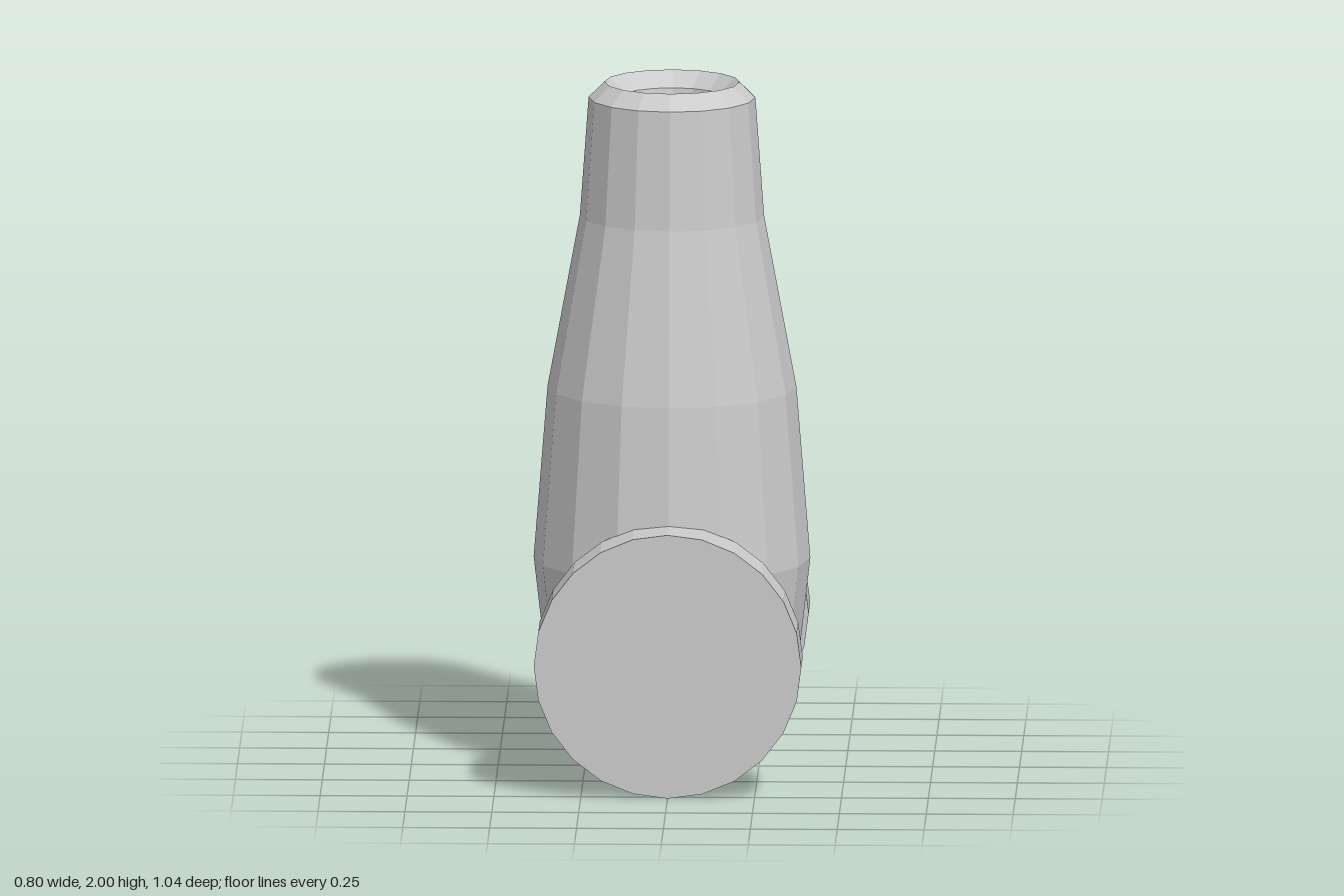
import * as THREE from 'three';

export function createModel() {
  const group = new THREE.Group();
  const material = new THREE.MeshStandardMaterial({ color: 0xcccccc, flatShading: true });

  // Hollow-mouthed tapered barrel: [radius, height], from the base up and down into the bore
  const profile = [
    [0, 0.06], [0.125, 0.06], [0.24, 0.165], [0.366, 0.33], [0.398, 0.61],
    [0.358, 1.11], [0.265, 1.61], [0.24, 1.955], [0.194, 2],
    [0.147, 1.955], [0.093, 1.61], [0, 1.61],
  ].map(([r, y]) => new THREE.Vector2(r, y));
  const barrel = new THREE.Mesh(new THREE.LatheGeometry(profile, 16), material);
  barrel.name = 'barrel';
  barrel.position.z = -0.003;
  group.add(barrel);

  // Solid disc wheels at front and back
  const wheelGeometry = new THREE.CylinderGeometry(0.385, 0.385, 0.174, 24).rotateX(Math.PI / 2);
  for (const [name, side] of [['frontWheel', 1], ['backWheel', -1]]) {
    const wheel = new THREE.Mesh(wheelGeometry, material);
    wheel.name = name;
    wheel.position.set(0, 0.385, side * 0.435);
    group.add(wheel);
  }

  return group;
}
